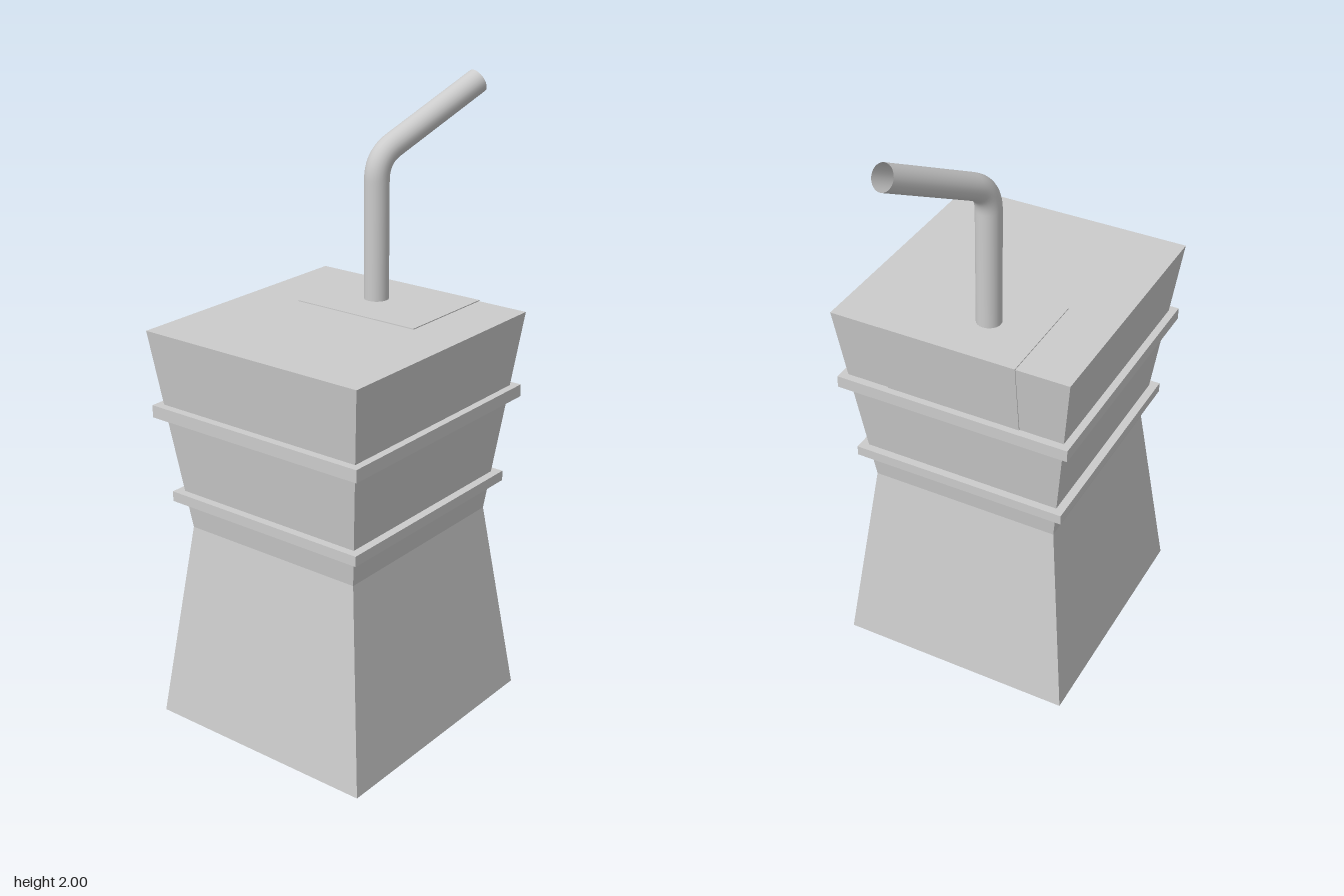
import * as THREE from 'three';

const CENTRE_Z = 0.11;
const HEIGHT = 1.32;

export function createModel() {
  const group = new THREE.Group();
  const grey = new THREE.MeshStandardMaterial({ color: 0xcccccc, flatShading: true });
  const smooth = new THREE.MeshStandardMaterial({ color: 0xcccccc, side: THREE.DoubleSide });

  const add = (name, geometry, material = grey) => {
    const mesh = new THREE.Mesh(geometry, material);
    mesh.name = name;
    group.add(mesh);
    return mesh;
  };

  // Carton body: a box pinched at mid height
  const body = new THREE.BoxGeometry(0.8, HEIGHT, 0.85, 1, 2, 1);
  const p = body.attributes.position;
  for (let i = 0; i < p.count; i++) {
    if (Math.abs(p.getY(i)) < 0.01) {
      p.setX(i, p.getX(i) * 0.8);
      p.setZ(i, p.getZ(i) * 0.8);
    }
  }
  body.computeVertexNormals();
  add('cartonBody', body).position.set(0, HEIGHT / 2, CENTRE_Z);

  // Two flat bands around the upper half
  for (const [name, y, w, h, d] of [
    ['upperBand', 1.06, 0.79, 0.04, 0.84],
    ['lowerBand', 0.77, 0.725, 0.033, 0.765],
  ]) add(name, new THREE.BoxGeometry(w, h, d)).position.set(0, y, CENTRE_Z);

  // Thin flap on the top, folded down the back to the upper band
  const t = 0.003;
  const profile = new THREE.Shape([
    [0.035, HEIGHT - 0.002], [0.035, HEIGHT + t], [-0.315 - t, HEIGHT + t],
    [-0.282 - t, 1.06], [-0.28, 1.06], [-0.313, HEIGHT - 0.002],
  ].map(([z, y]) => new THREE.Vector2(z, y)));
  const flap = add('topFlap', new THREE.ExtrudeGeometry(profile, { depth: 0.45, bevelEnabled: false }));
  flap.rotation.y = -Math.PI / 2;
  flap.position.x = 0.225;

  // Open drinking straw with a rounded bend
  const base = new THREE.Vector3(-0.045, 1.3, -0.135);
  const corner = new THREE.Vector3(-0.045, 1.775, -0.135);
  const tip = new THREE.Vector3(0.065, 1.968, -0.513);
  const bendStart = corner.clone().add(new THREE.Vector3(0, -0.07, 0));
  const bendEnd = corner.clone().lerp(tip, 0.16);
  const path = new THREE.CurvePath();
  path.add(new THREE.LineCurve3(base, bendStart));
  path.add(new THREE.QuadraticBezierCurve3(bendStart, corner, bendEnd));
  path.add(new THREE.LineCurve3(bendEnd, tip));
  add('straw', new THREE.TubeGeometry(path, 64, 0.04, 24, false), smooth);

  return group;
}
